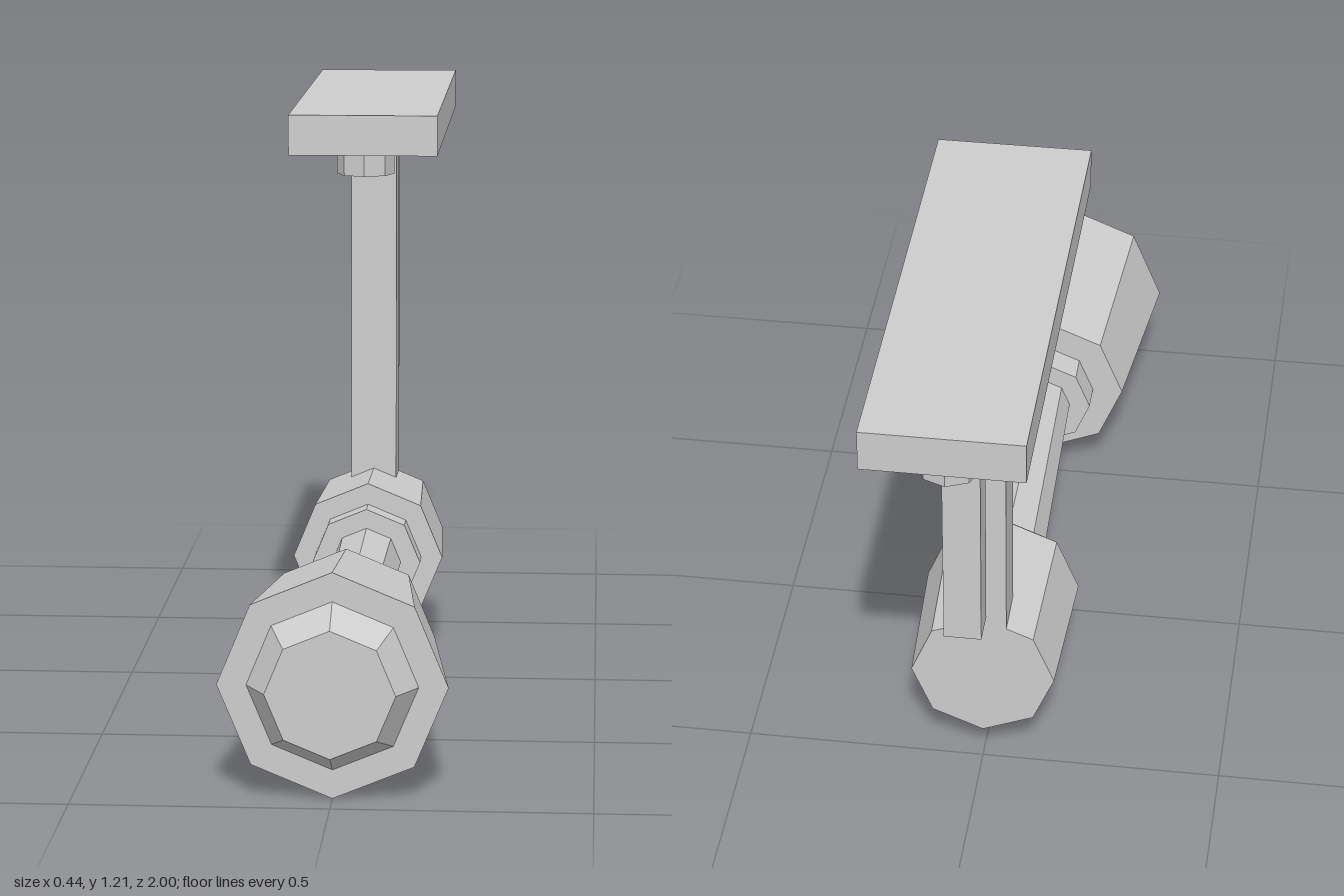
import * as THREE from 'three';

export function createModel() {
  const model = new THREE.Group();
  const grey = new THREE.MeshStandardMaterial({ color: 0xcccccc, flatShading: true });
  grey.name = 'plain grey';

  function add(name, geometry, x, y, z) {
    const mesh = new THREE.Mesh(geometry, grey);
    mesh.name = name;
    mesh.position.set(x, y, z);
    model.add(mesh);
  }

  // Box given by its width and its y and z ranges, centred on x
  function box(name, width, y0, y1, z0, z1) {
    add(name, new THREE.BoxGeometry(width, y1 - y0, z1 - z0), 0, (y0 + y1) / 2, (z0 + z1) / 2);
  }

  // Eight-sided tapered section along z, from radius r0 at z0 to r1 at z1
  const axisY = 0.225;
  function section(name, z0, r0, z1, r1) {
    const g = new THREE.CylinderGeometry(r1, r0, z1 - z0, 8).rotateX(Math.PI / 2);
    add(name, g, 0, axisY, (z0 + z1) / 2);
  }

  // Horizontal arm, back to front
  section('rearHub', -0.5, 0.15, -0.185, 0.163);
  section('rearCollar', -0.185, 0.117, -0.13, 0.117);
  section('shaft', -0.13, 0.075, 0.46, 0.064);
  section('frontCollar', 0.46, 0.11, 0.525, 0.11);
  section('head', 0.525, 0.177, 0.93, 0.222);
  section('headTip', 0.93, 0.165, 1, 0.125);

  // Upright post and the free-hanging bar behind it
  box('post', 0.1, 0.34, 1.13, -0.5, -0.4);
  box('hangingBar', 0.075, 0.55, 1.09, -0.77, -0.7);

  // Mounting plate with a bolt head near each end
  box('mountingPlate', 0.314, 1.13, 1.215, -1, 0);
  for (const z of [-0.105, -0.907]) {
    add('boltHead', new THREE.CylinderGeometry(0.061, 0.061, 0.05, 8), 0, 1.105, z);
  }
  return model;
}
